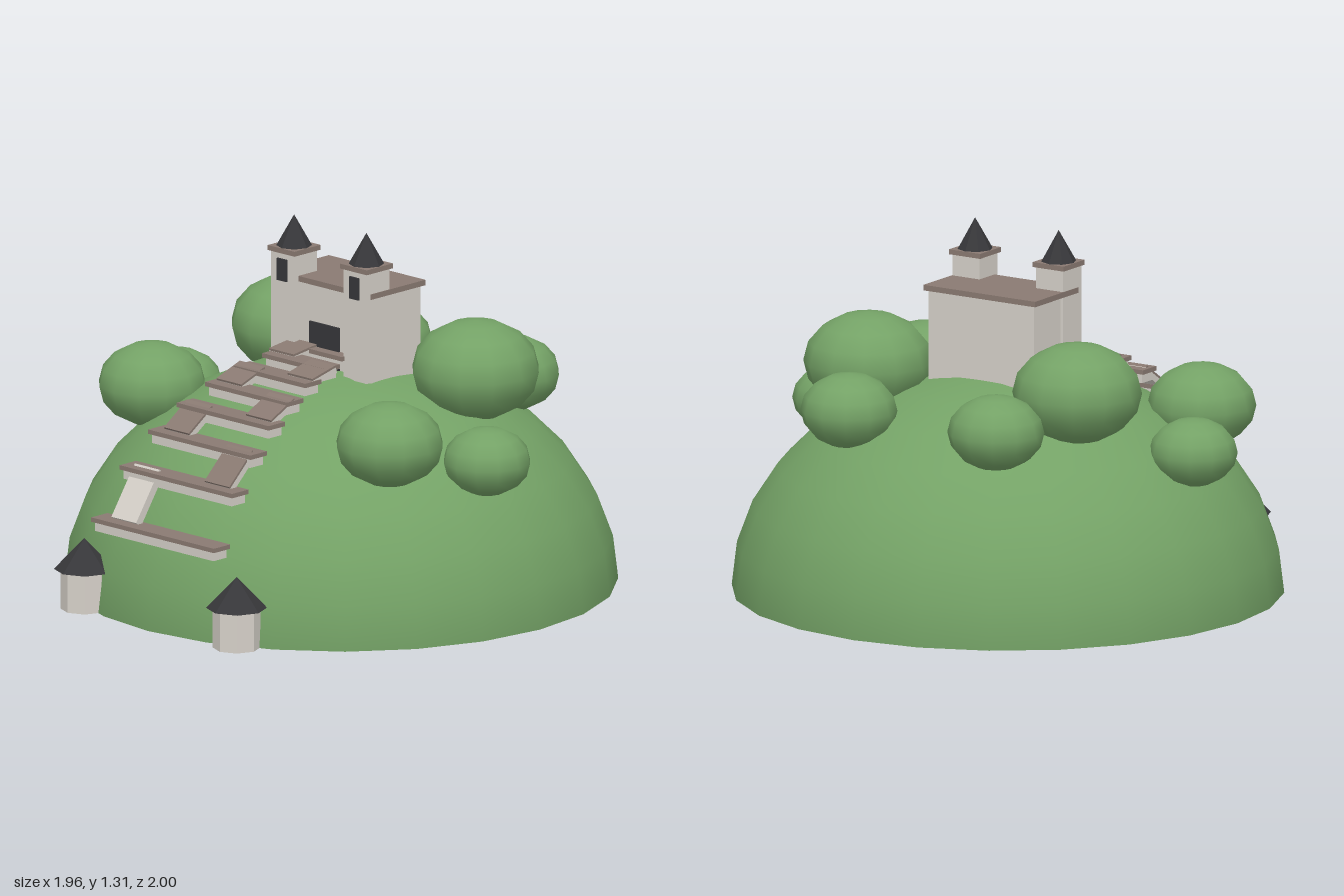
import * as THREE from 'three';
import { toCreasedNormals } from 'three/addons/utils/BufferGeometryUtils.js';

const R = 0.978, H = 0.8, HILL_Z = -0.024;

const mat = (name, color, side = THREE.FrontSide) => {
  const m = new THREE.MeshStandardMaterial({ color, side });
  m.name = name;
  return m;
};

export function createModel() {
  const root = new THREE.Group();
  root.name = 'castleHill';
  const grass = mat('grassGreen', 0x74a266, THREE.DoubleSide);
  const stone = mat('paleStone', 0xd6d1c9);
  const brown = mat('brownTile', 0x8a7a72);
  const dark = mat('darkSlate', 0x37373a);

  const add = (parent, name, geo, material, x, y, z) => {
    const m = new THREE.Mesh(geo, material);
    m.name = name;
    m.position.set(x, y, z);
    parent.add(m);
    return m;
  };
  const box = (parent, name, material, w, h, d, x, y, z) =>
    add(parent, name, new THREE.BoxGeometry(w, h, d), material, x, y, z);
  const group = (name) => {
    const g = new THREE.Group();
    g.name = name;
    root.add(g);
    return g;
  };
  const faceted = (geo) => toCreasedNormals(geo, 0.4);

  // Hollow dome, open underneath
  const dome = new THREE.SphereGeometry(R, 24, 8, 0, Math.PI * 2, 0, Math.PI / 2);
  dome.scale(1, H / R, 1);
  add(root, 'hill', dome, grass, 0, 0, HILL_Z);

  // Rounded bushes in mirrored pairs: x, y, z, radius
  const bushes = group('bushes');
  for (const [x, y, z, r] of [
    [0.313, 0.71, -0.565, 0.172],
    [0.445, 0.81, -0.247, 0.23],
    [0.76, 0.585, 0.02, 0.157],
    [0.585, 0.675, 0.333, 0.193],
  ]) {
    for (const s of [-1, 1]) {
      const geo = new THREE.SphereGeometry(r, 12, 8);
      geo.scale(1, 0.775, 1);
      add(bushes, 'bush', geo, grass, s * x, y, z);
    }
  }

  // Castle keep with flat roof and door
  const castle = group('castle');
  box(castle, 'keep', stone, 0.45, 0.4, 0.25, 0, 0.885, -0.068);
  box(castle, 'keepRoof', brown, 0.475, 0.02, 0.275, 0, 1.094, -0.068);
  box(castle, 'door', dark, 0.145, 0.165, 0.009, 0, 0.865, 0.06);

  // Twin square towers with pointed caps
  for (const s of [-1, 1]) {
    const x = s * 0.178;
    box(castle, 'tower', stone, 0.115, 0.405, 0.115, x, 0.982, 0.032);
    box(castle, 'towerCornice', brown, 0.132, 0.018, 0.132, x, 1.19, 0.032);
    add(castle, 'towerSpire', faceted(new THREE.ConeGeometry(0.064, 0.114, 8)), dark, x, 1.254, 0.032);
    box(castle, 'towerWindow', dark, 0.046, 0.08, 0.009, x, 1.12, 0.093);
  }

  // Round gatehouses at the foot of the hill
  for (const s of [-1, 1]) {
    const gate = group('gatehouse');
    gate.position.set(s * 0.375, 0, 0.892);
    add(gate, 'gatehouseWall', faceted(new THREE.CylinderGeometry(0.085, 0.085, 0.15, 8)), stone, 0, 0.075, 0);
    add(gate, 'gatehouseRoof', faceted(new THREE.ConeGeometry(0.108, 0.112, 8)), dark, 0, 0.201, 0);
  }

  // Terraces climbing the slope, narrowing toward the castle
  const stairway = group('stairway');
  const steps = [];
  for (let i = 0; i < 8; i++) {
    const z = 0.891 - i * 0.1185;
    const rel = (z - HILL_Z) / R;
    const top = H * Math.sqrt(1 - rel * rel) + (i === 0 ? 0.072 : 0.063);
    const half = 0.302 - i * 0.0252;
    box(stairway, 'terraceCap', brown, half * 2, 0.016, 0.083, 0, top - 0.008, z);
    box(stairway, 'terraceWall', stone, half * 2 - 0.02, 0.033, 0.066, 0, top - 0.0325, z);
    steps.push({ y: top, z });
  }

  // Sloped ramps zigzagging between the terraces
  for (let i = 0; i < 7; i++) {
    const a = steps[i], b = steps[i + 1];
    const dy = b.y - a.y, dz = a.z - b.z;
    const len = Math.hypot(dy, dz);
    const ramp = new THREE.Group();
    ramp.name = 'ramp';
    ramp.position.set((i % 2 ? 1 : -1) * (0.178 - i * 0.0135), (a.y + b.y) / 2 + 0.004, (a.z + b.z) / 2);
    ramp.rotation.x = Math.atan2(dy, dz);
    stairway.add(ramp);
    box(ramp, 'rampBody', stone, 0.122, 0.022, len, 0, -0.014, 0);
    box(ramp, 'rampDeck', i === 0 ? stone : brown, 0.122, 0.008, len, 0, 0.001, 0);
  }

  return root;
}
